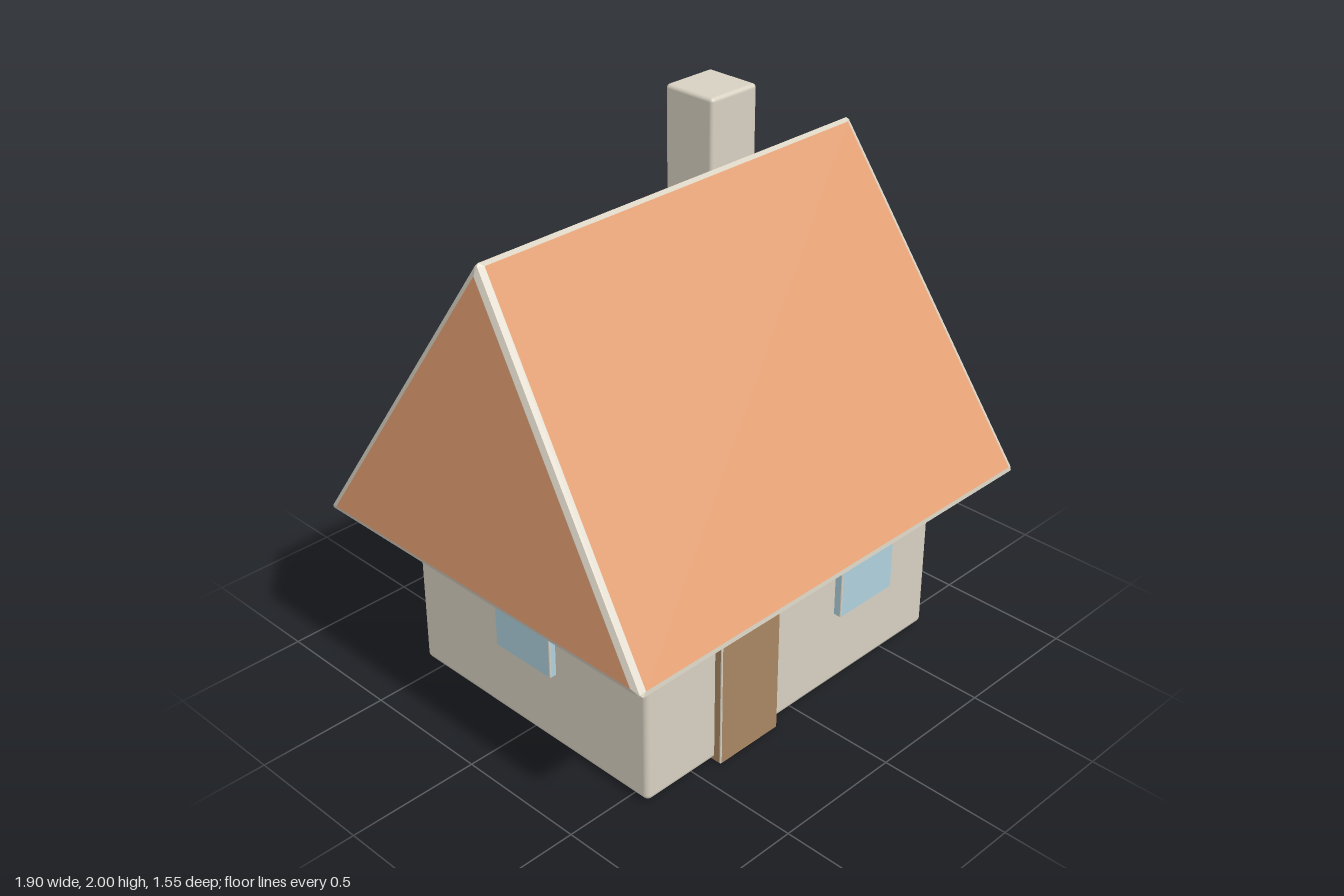
import * as THREE from 'three';
import { ConvexGeometry } from 'three/addons/geometries/ConvexGeometry.js';
import { RoundedBoxGeometry } from 'three/addons/geometries/RoundedBoxGeometry.js';

const paint = (name, color) => {
  const m = new THREE.MeshStandardMaterial({ color });
  m.name = name;
  return m;
};

// Faces of a box whose corners are numbered x + 2y + 4z
const BOX_FACES = [[0, 4, 6, 2], [1, 3, 7, 5], [0, 1, 5, 4], [2, 6, 7, 3], [0, 2, 3, 1], [4, 5, 7, 6]];

// Solid with softened pale edges and a coloured panel on every face
function edgedSolid(name, corners, faces, inset, trim, color) {
  const group = new THREE.Group();
  group.name = name;
  const centre = corners.reduce((s, c) => s.add(c), new THREE.Vector3()).divideScalar(corners.length);
  const around = corners.map(() => []);
  const panels = [];
  for (const face of faces) {
    const n = face.length;
    const ring = face.map((id, i) => {
      const p = corners[id];
      const u = corners[face[(i + 1) % n]].clone().sub(p).normalize();
      const v = corners[face[(i + n - 1) % n]].clone().sub(p).normalize();
      const sine = u.clone().cross(v).length();
      const q = p.clone().addScaledVector(u.add(v), inset / sine);
      around[id].push(q);
      return q;
    });
    const normal = ring[1].clone().sub(ring[0]).cross(ring[2].clone().sub(ring[0])).normalize();
    if (normal.dot(ring[0].clone().sub(centre)) < 0) {
      ring.reverse();
      normal.negate();
    }
    const lifted = ring.map((q) => q.clone().addScaledVector(normal, 0.0015));
    for (let i = 1; i < n - 1; i++) panels.push(lifted[0], lifted[i], lifted[i + 1]);
  }
  // Points between neighbouring faces round the edges slightly
  const hull = [];
  around.forEach((list, id) => {
    list.forEach((q, i) => {
      hull.push(q);
      for (const r of list.slice(i + 1)) hull.push(q.clone().lerp(r, 0.5).lerp(corners[id], 0.4));
    });
  });
  const edge = new THREE.Mesh(new ConvexGeometry(hull), trim);
  edge.name = name + 'Edging';
  const geometry = new THREE.BufferGeometry().setFromPoints(panels);
  geometry.computeVertexNormals();
  const surface = new THREE.Mesh(geometry, color);
  surface.name = name + 'Panels';
  group.add(edge, surface);
  return group;
}

function boxCorners(min, max) {
  return Array.from({ length: 8 }, (_, i) => new THREE.Vector3(
    (i & 1 ? max : min)[0], (i & 2 ? max : min)[1], (i & 4 ? max : min)[2]));
}

function roundedBlock(name, min, max, radius, material) {
  const size = max.map((v, i) => v - min[i]);
  const mesh = new THREE.Mesh(new RoundedBoxGeometry(...size, 3, radius), material);
  mesh.position.set(...max.map((v, i) => (v + min[i]) / 2));
  mesh.name = name;
  return mesh;
}

export function createModel() {
  const plaster = paint('plaster', 0xd8d1c2);
  const tile = paint('roof tile', 0xe29d70);
  const wood = paint('door wood', 0xa98762);
  const glass = paint('window glass', 0xafd0dd);

  const house = new THREE.Group();
  house.name = 'house';

  // Walls and chimney
  house.add(roundedBlock('walls', [-0.725, 0.008, -0.577], [0.725, 0.72, 0.577], 0.022, plaster));
  house.add(roundedBlock('chimney', [0.32, 1.15, -0.375], [0.545, 2, -0.15], 0.015, plaster));

  // Gabled roof, its ends leaning inwards
  const roof = [
    [-0.949, 0.66, 0.788], [0.949, 0.66, 0.788], [0.949, 0.66, -0.788], [-0.949, 0.66, -0.788],
    [-0.867, 1.848, 0], [0.867, 1.848, 0],
  ].map((p) => new THREE.Vector3(...p));
  const roofFaces = [[0, 1, 5, 4], [2, 3, 4, 5], [1, 2, 5], [3, 0, 4], [0, 3, 2, 1]];
  house.add(edgedSolid('roof', roof, roofFaces, 0.029, plaster, tile));

  // Door and windows
  const fitting = (name, min, max, color) =>
    house.add(edgedSolid(name, boxCorners(min, max), BOX_FACES, 0.004, plaster, color));
  fitting('door', [-0.405, 0, 0.55], [-0.12, 0.555, 0.606], wood);
  fitting('frontWindow', [0.205, 0.3, 0.55], [0.482, 0.576, 0.606], glass);
  fitting('leftWindow', [0.7, 0.3, -0.138], [0.75, 0.576, 0.138], glass);
  fitting('rightWindow', [-0.75, 0.3, -0.138], [-0.7, 0.576, 0.138], glass);

  return house;
}
